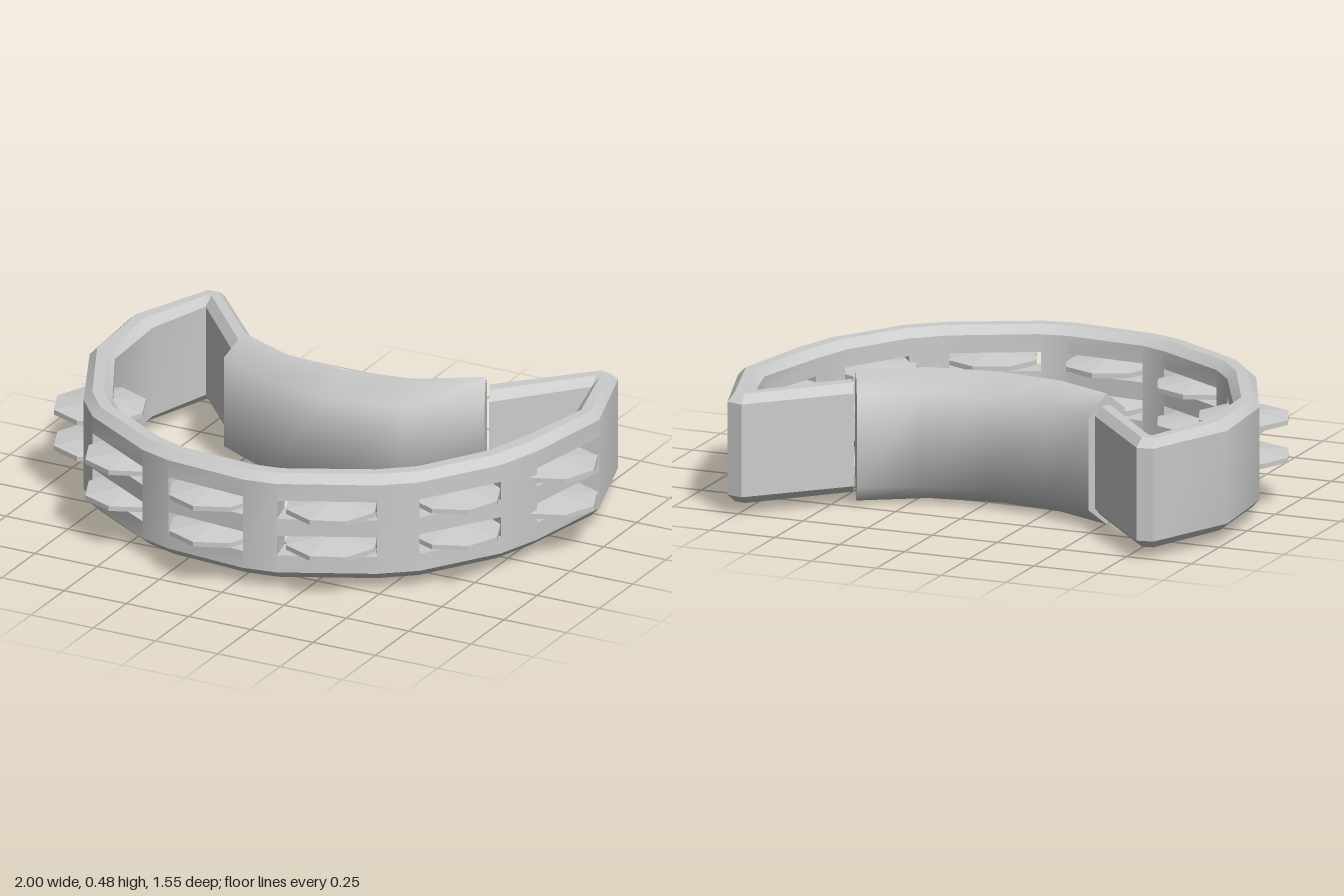
import * as THREE from 'three';
import { toCreasedNormals } from 'three/addons/utils/BufferGeometryUtils.js';

// Plan nodes of the frame: [outer x, outer z, inner x, inner z]
const FRAME = [
  [-0.49, -0.43, -0.53, -0.335],
  [-0.80, -0.775, -0.815, -0.66],
  [-0.86, -0.765, -0.815, -0.66],
  [-1.0, -0.43, -0.89, -0.40],
  [-0.975, -0.085, -0.875, -0.085],
  [-0.80, 0.29, -0.715, 0.23],
  [-0.70, 0.41, -0.63, 0.33],
  [-0.40, 0.595, -0.355, 0.495],
  [-0.275, 0.635, -0.255, 0.535],
  [0.04, 0.665, 0.04, 0.555],
  [0.165, 0.645, 0.14, 0.54],
  [0.485, 0.49, 0.43, 0.395],
  [0.605, 0.395, 0.545, 0.30],
  [0.785, 0.12, 0.69, 0.065],
  [0.84, -0.05, 0.735, -0.09],
  [0.90, -0.405, 0.805, -0.39],
  [0.785, -0.765, 0.735, -0.66],
  [0.725, -0.78, 0.735, -0.66],
  [0.42, -0.48, 0.48, -0.365],
];
const GRIP = [
  [-0.54, -0.28, -0.475, -0.455],
  [-0.30, -0.16, -0.275, -0.375],
  [-0.045, -0.13, -0.045, -0.345],
  [0.24, -0.175, 0.195, -0.385],
  [0.48, -0.33, 0.40, -0.50],
];

// Cross-sections as [u, y]; u runs 0 (inner side) to 1 (outer side)
const WHOLE = [[0, 0.07], [0.3, 0.04], [0.7, 0.04], [1, 0.07], [1, 0.41], [0.7, 0.44], [0.3, 0.44], [0, 0.41]];
const BARS = [
  [[0, 0.07], [0.3, 0.04], [0.7, 0.04], [1, 0.07], [1, 0.135], [0, 0.135]],
  [[0, 0.21], [1, 0.21], [1, 0.275], [0, 0.275]],
  [[0, 0.345], [1, 0.345], [1, 0.41], [0.7, 0.44], [0.3, 0.44], [0, 0.41]],
];
const GRIP_SECTION = [[0, 0.07], [0.5, 0], [1, 0.07], [1, 0.41], [0.5, 0.48], [0, 0.41]];

const isSlot = (i) => i >= 4 && i <= 14 && i % 2 === 0;

// Places a section point on a plan node
function place([ox, oz, ix, iz], [u, y]) {
  return [ix + (ox - ix) * u, y, iz + (oz - iz) * u];
}

// Adds a prism between two nodes, with optional end caps
function addPrism(out, a, b, section, capA, capB) {
  const A = section.map((p) => place(a, p));
  const B = section.map((p) => place(b, p));
  const n = section.length;
  for (let j = 0; j < n; j++) {
    const k = (j + 1) % n;
    out.push(...A[j], ...B[j], ...B[k], ...A[j], ...B[k], ...A[k]);
  }
  for (let j = 1; j < n - 1; j++) {
    if (capA) out.push(...A[0], ...A[j], ...A[j + 1]);
    if (capB) out.push(...B[0], ...B[j + 1], ...B[j]);
  }
}

function toGeometry(positions, crease) {
  const g = new THREE.BufferGeometry();
  g.setAttribute('position', new THREE.Float32BufferAttribute(positions, 3));
  g.computeVertexNormals();
  return toCreasedNormals(g, crease);
}

export function createModel() {
  const model = new THREE.Group();
  model.name = 'tambourine';
  const smooth = new THREE.MeshStandardMaterial({ color: 0xcccccc });
  const flat = new THREE.MeshStandardMaterial({ color: 0xcccccc, flatShading: true });

  // Crescent frame: solid stretches alternating with double-slotted ones
  const framePos = [];
  for (let i = 0; i < FRAME.length - 1; i++) {
    const a = FRAME[i], b = FRAME[i + 1];
    if (isSlot(i)) {
      for (const bar of BARS) addPrism(framePos, a, b, bar, false, false);
    } else {
      const last = i === FRAME.length - 2;
      addPrism(framePos, a, b, WHOLE, i === 0 || isSlot(i - 1), last || isSlot(i + 1));
    }
  }
  const frame = new THREE.Mesh(toGeometry(framePos, 0.6), smooth);
  frame.name = 'frame';
  model.add(frame);

  // Curved hand grip with a soft ridge above and below
  const gripPos = [];
  for (let i = 0; i < GRIP.length - 1; i++) {
    addPrism(gripPos, GRIP[i], GRIP[i + 1], GRIP_SECTION, i === 0, i === GRIP.length - 2);
  }
  const grip = new THREE.Mesh(toGeometry(gripPos, 1.25), smooth);
  grip.name = 'grip';
  model.add(grip);

  // Lens-shaped jingles, two in each slotted stretch
  const profile = [[0, -0.032], [0.171, -0.009], [0.171, 0.009], [0, 0.032]];
  const disc = new THREE.LatheGeometry(profile.map(([x, y]) => new THREE.Vector2(x, y)), 8);
  const centres = [[-0.83, 0.11], [-0.52, 0.455], [-0.105, 0.60], [0.32, 0.52], [0.655, 0.225], [0.825, -0.185]];
  const jingles = new THREE.Group();
  jingles.name = 'jingles';
  for (const [x, z] of centres) {
    for (const y of [0.172, 0.31]) {
      const jingle = new THREE.Mesh(disc, flat);
      jingle.name = 'jingle';
      jingle.position.set(x, y, z);
      jingles.add(jingle);
    }
  }
  model.add(jingles);
  return model;
}
